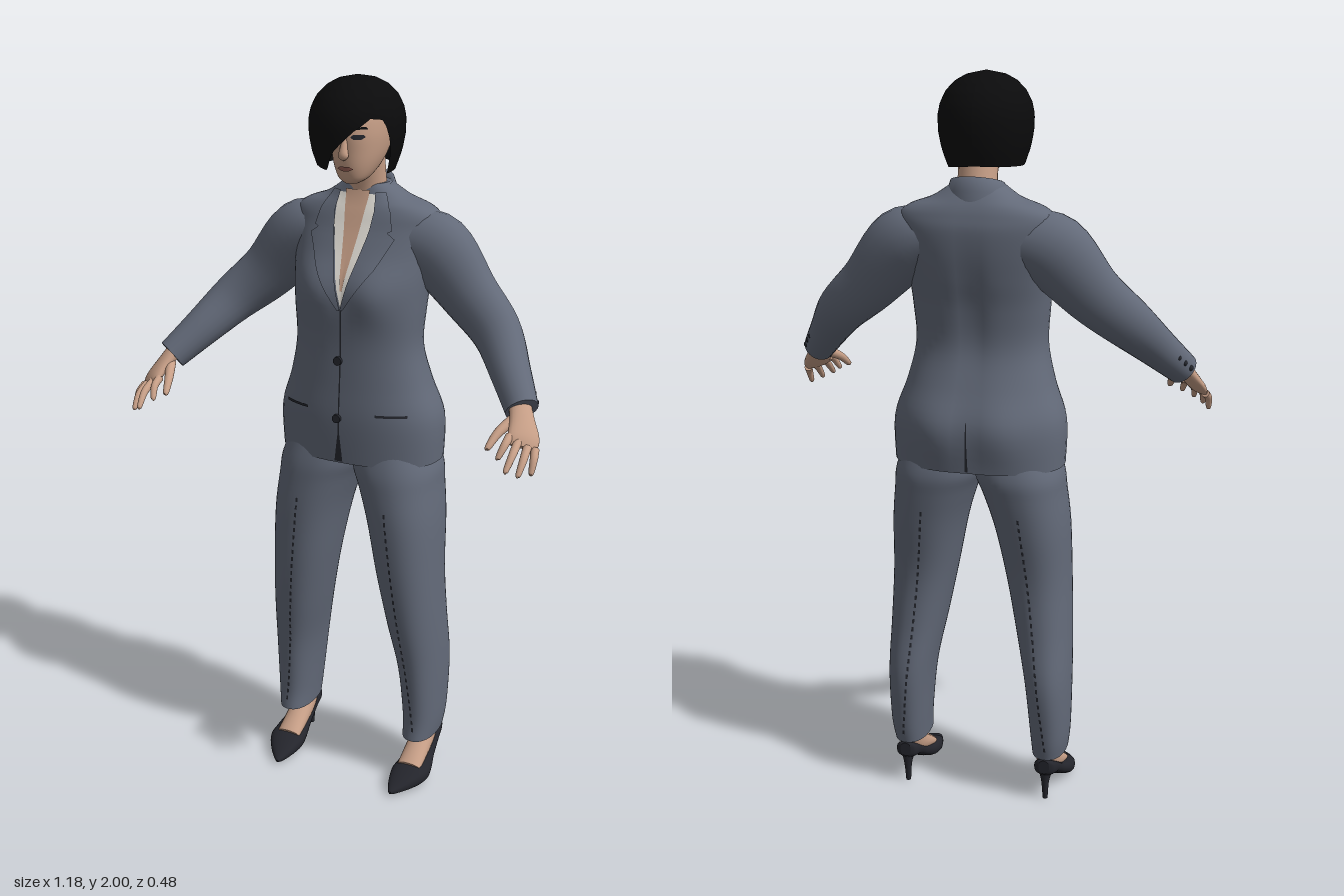
import * as THREE from 'three';
import { mergeGeometries } from 'three/addons/utils/BufferGeometryUtils.js';

const V = (x, y, z) => new THREE.Vector3(x, y, z);
const paint = (name, color) => Object.assign(new THREE.MeshStandardMaterial({ color, side: THREE.DoubleSide }), { name });
const circle = (n, f) => Array.from({ length: n }, (_, j) => f(j / n * Math.PI * 2));

// Catmull-Rom interpolation of every column of a table of sections
function smooth(rows, n = 5) {
  const out = [], at = i => rows[Math.min(Math.max(i, 0), rows.length - 1)];
  for (let i = 0; i < rows.length - 1; i++) for (let k = 0; k < n; k++) {
    const t = k / n;
    out.push(at(i).map((b, c) => {
      const a = at(i - 1)[c], d = at(i + 1)[c], e = at(i + 2)[c];
      return b + 0.5 * t * (d - a + t * (2 * a - 5 * b + 4 * d - e + t * (3 * (b - d) + e - a)));
    }));
  }
  return [...out, at(rows.length - 1)];
}

// Skin over a list of point rings; closed rings are capped at both ends
function loft(rings, closed = true) {
  const n = rings[0].length, pos = [], idx = [];
  rings.forEach(r => r.forEach(p => pos.push(p.x, p.y, p.z)));
  for (let i = 0; i < rings.length - 1; i++) for (let j = 0; j < (closed ? n : n - 1); j++) {
    const a = i * n + j, b = i * n + (j + 1) % n;
    idx.push(a, a + n, b, b, a + n, b + n);
  }
  if (closed) [rings[0], rings[rings.length - 1]].forEach((r, e) => {
    const s = pos.length / 3, c = r.reduce((m, p) => m.add(p), V(0, 0, 0)).divideScalar(n);
    [...r, c].forEach(p => pos.push(p.x, p.y, p.z));
    for (let j = 0; j < n; j++) {
      const k = s + (j + 1) % n;
      idx.push(s + j, ...(e ? [s + n, k] : [k, s + n]));
    }
  });
  const g = new THREE.BufferGeometry();
  g.setAttribute('position', new THREE.Float32BufferAttribute(pos, 3));
  g.setIndex(idx);
  g.computeVertexNormals();
  return g;
}

// Body volume from rows [y, xMin, xMax, zFront, zBack] with rounded-box sections
function body(table, power = 2.3, bump = () => 0) {
  const rows = smooth(table), sp = v => Math.sign(v) * Math.abs(v) ** (2 / power);
  const geometry = loft(rows.map(([y, x0, x1, zf, zb]) => circle(48, a => {
    const s = sp(Math.sin(-a)), x = (x0 + x1) / 2 + (x1 - x0) / 2 * sp(Math.cos(a));
    return V(x, y, (zf + zb) / 2 + (zf - zb) / 2 * s + bump(x, y, s));
  })));
  // depth of the front (side 1) or back (side -1) surface at x, y
  const depth = (x, y, side = 1) => {
    let i = 0;
    while (i < rows.length - 2 && rows[i + 1][0] < y) i++;
    const t = THREE.MathUtils.clamp((y - rows[i][0]) / (rows[i + 1][0] - rows[i][0]), 0, 1);
    const [, x0, x1, zf, zb] = rows[i].map((v, c) => v + (rows[i + 1][c] - v) * t);
    const q = Math.min(Math.abs((x - (x0 + x1) / 2) / ((x1 - x0) / 2)), 1);
    const s = side * (1 - q ** power) ** (1 / power);
    return (zf + zb) / 2 + (zf - zb) / 2 * s + bump(x, y, s);
  };
  return { geometry, depth };
}

// Thin patch lying on a body; rows are [y, xLeft, xRight]
function patch(b, rows, lift, side = 1) {
  const fine = rows.slice(1).flatMap((q, i) =>
    [0, 0.2, 0.4, 0.6, 0.8].map(t => rows[i].map((v, c) => v + (q[c] - v) * t)));
  return loft([...fine, rows[rows.length - 1]].map(([y, a, c]) => Array.from({ length: 9 }, (_, j) => {
    const x = a + (c - a) * j / 8;
    return V(x, y, b.depth(x, y, side) + side * lift);
  })), false);
}

// Limb along points [x, y, z, width, thickness]
function limb(table, ref = V(0, 0, 1)) {
  const rows = smooth(table);
  return loft(rows.map((r, i) => {
    const p = rows[Math.max(i - 1, 0)], q = rows[Math.min(i + 1, rows.length - 1)];
    const t = V(q[0] - p[0], q[1] - p[1], q[2] - p[2]).normalize();
    const u = t.clone().cross(ref).normalize(), v = u.clone().cross(t);
    return circle(20, a => V(r[0], r[1], r[2]).addScaledVector(u, r[3] * Math.cos(a)).addScaledVector(v, r[4] * Math.sin(a)));
  }));
}

export function createModel() {
  const suit = paint('suit grey', 0x636a79), dark = paint('dark trim', 0x25272e);
  const skin = paint('skin', 0xc79f87), shirt = paint('shirt white', 0xe6e2da), lips = paint('lips', 0x9a6257);
  const black = paint('hair black', 0x0b0b0c), leather = paint('shoe leather', 0x24252c);
  const model = new THREE.Group();
  const add = (name, geometry, material, parent = model) => {
    const m = Object.assign(new THREE.Mesh(geometry, material), { name });
    parent.add(m);
    return m;
  };
  const hill = (x, y, cx, cy, s) => Math.exp(-(((Math.abs(x) - cx) / s) ** 2 + ((y - cy) / s) ** 2));

  // Jacket body with bust, hips and a shallow groove down the spine
  const jacket = body([
    [0.98, 0.232, 0.07, -0.215], [1.1, 0.233, 0.075, -0.215], [1.2, 0.2, 0.07, -0.19],
    [1.3, 0.178, 0.066, -0.165], [1.4, 0.183, 0.065, -0.172], [1.48, 0.19, 0.055, -0.188],
    [1.55, 0.198, 0.025, -0.198], [1.61, 0.205, -0.002, -0.2], [1.645, 0.203, -0.015, -0.193],
    [1.668, 0.175, -0.024, -0.185], [1.69, 0.115, -0.033, -0.173], [1.725, 0.062, -0.04, -0.15],
  ].map(([y, w, f, b]) => [y, -w, w, f, b]), 2.35, (x, y, s) => s * (s > 0
    ? 0.02 * hill(x, y, 0.09, 1.45, 0.07)
    : 0.022 * hill(x, y, 0.09, 1.09, 0.09) - 0.012 * Math.exp(-((x / 0.03) ** 2) - ((y - 1.4) / 0.18) ** 2)));
  add('jacket', jacket.geometry, suit);
  const trim = (name, rows, lift, mat, side) => add(name, patch(jacket, rows, lift, side), mat);
  trim('shirtFront', [[1.42, -0.002, 0.002], [1.62, -0.055, 0.055], [1.7, -0.058, 0.058]], 0.003, shirt);
  trim('chest', [[1.46, -0.003, 0.003], [1.6, -0.021, 0.021], [1.71, -0.035, 0.035]], 0.006, skin);
  trim('jacketOpening', [[0.985, -0.018, 0.006], [1.07, -0.006, -0.002], [1.42, -0.002, 0.002]], 0.002, dark);
  trim('backVent', [[0.985, -0.004, 0.004], [1.12, -0.001, 0.001]], 0.003, dark, -1);
  for (const s of [-1, 1]) {
    trim('lapel', [[1.41, 0, 0.008], [1.52, 0.028, 0.085], [1.595, 0.047, 0.122], [1.61, 0.05, 0.1],
      [1.615, 0.051, 0.112], [1.66, 0.056, 0.1], [1.705, 0.05, 0.075]].map(([y, a, b]) => [y, s * a, s * b]), 0.009, suit);
    trim('pocketSlit', [[1.125, s * 0.1, s * 0.18], [1.132, s * 0.1, s * 0.18]], 0.003, dark);
  }
  for (const y of [1.11, 1.27])
    add('jacketButton', new THREE.CylinderGeometry(0.012, 0.012, 0.009, 16).rotateX(Math.PI / 2), dark)
      .position.set(-0.008, y, jacket.depth(0, y) + 0.004);

  // Turned collar around the nape
  add('collar', loft([[0.088, 1.675, 0.082], [0.082, 1.71, 0.078], [0.07, 1.745, 0.066], [0.058, 1.73, 0.056]].map(([rx, y, rz]) =>
    Array.from({ length: 29 }, (_, j) => {
      const a = (j / 28 - 0.5) * 4.3;
      return V(rx * Math.sin(a), y - 0.02 * (1 - Math.cos(a)), -0.095 - rz * Math.cos(a));
    })), false), suit);

  // Neck, head and face
  add('neck', limb([[0, 1.64, -0.1, 0.06, 0.06], [0.003, 1.72, -0.085, 0.052, 0.052], [0.006, 1.82, -0.06, 0.052, 0.055]]), skin);
  const head = body([
    [1.737, 0.018, 0.036, -0.01], [1.75, 0.038, 0.047, -0.04], [1.78, 0.055, 0.056, -0.09],
    [1.82, 0.067, 0.06, -0.13], [1.87, 0.072, 0.062, -0.15], [1.92, 0.066, 0.05, -0.145], [1.96, 0.035, 0.01, -0.11],
  ].map(([y, w, f, b]) => [y, 0.008 - w, 0.008 + w, f, b]), 2.2);
  add('head', head.geometry, skin);
  add('nose', limb([[0.008, 1.86, 0.055, 0.007, 0.007], [0.008, 1.83, 0.064, 0.01, 0.01],
    [0.008, 1.812, 0.067, 0.014, 0.011], [0.008, 1.804, 0.062, 0.006, 0.006]]), skin);
  add('mouth', patch(head, [[1.772, 0, 0.016], [1.778, -0.015, 0.031], [1.784, -0.004, 0.02]], 0.004), lips);
  for (const s of [-1, 1]) {
    const at = (a, b) => [0.008 + s * a, 0.008 + s * b];
    add('eye', patch(head, [[1.853, ...at(0.025, 0.042)], [1.859, ...at(0.018, 0.05)], [1.865, ...at(0.024, 0.046)]], 0.003), dark);
    add('eyebrow', patch(head, [[1.878, ...at(0.016, 0.054)], [1.884, ...at(0.018, 0.05)]], 0.003), black);
  }

  // Bobbed hair: a cap whose hem [degrees, y] sweeps diagonally across the face
  const hem = [[-180, 1.772], [-90, 1.765], [-45, 1.775], [-18, 1.77], [0, 1.825], [25, 1.875], [45, 1.905],
    [62, 1.9], [74, 1.83], [80, 1.757], [110, 1.76], [180, 1.772]];
  const bulge = [[1.74, 0.72], [1.77, 0.82], [1.81, 0.93], [1.85, 0.99], [1.89, 1], [1.92, 0.95],
    [1.95, 0.83], [1.975, 0.63], [1.99, 0.4], [2, 0]];
  const lookup = (t, v) => {
    const i = Math.max(1, t.findIndex(p => p[0] >= v));
    return THREE.MathUtils.mapLinear(v, t[i - 1][0], t[i][0], t[i - 1][1], t[i][1]);
  };
  add('hair', loft(Array.from({ length: 25 }, (_, i) => Array.from({ length: 73 }, (_, j) => {
    const deg = -180 + j * 5, a = deg * Math.PI / 180;
    const y = 2 - (2 - lookup(hem, deg)) * (i / 24) ** 2, r = lookup(bulge, y);
    return V(-0.012 + 0.122 * r * Math.sin(a), y, -0.056 + 0.144 * r * Math.cos(a));
  })), false), black);

  // One side of the limbs, mirrored for the other
  for (const side of [1, -1]) {
    const half = new THREE.Group();
    half.name = side > 0 ? 'leftLimbs' : 'rightLimbs';
    half.scale.x = side;
    model.add(half);
    // Sleeve with cuff buttons
    add('sleeve', limb([[0.12, 1.58, -0.1, 0.075, 0.08], [0.2, 1.555, -0.1, 0.098, 0.08], [0.3, 1.45, -0.088, 0.08, 0.062],
      [0.39, 1.37, -0.055, 0.068, 0.057], [0.46, 1.29, 0.02, 0.054, 0.05], [0.518, 1.222, 0.088, 0.044, 0.042]]), suit, half);
    for (let i = 0; i < 3; i++)
      add('cuffButton', new THREE.SphereGeometry(0.008, 10, 8), dark, half)
        .position.set(0.515 + i * 0.014, 1.268 - i * 0.017, 0.018 + i * 0.018);
    // Hand: flat palm, four fingers and thumb
    const palm = V(-0.009, -0.0122, -0.0086);
    add('palm', limb([[0.505, 1.245, 0.075, 0.028, 0.022], [0.528, 1.205, 0.112, 0.033, 0.018],
      [0.545, 1.17, 0.143, 0.042, 0.015], [0.55, 1.15, 0.16, 0.036, 0.009]], palm), skin, half);
    [[0.515, 1.175, 0.162, 0.505, 1.133, 0.212], [0.537, 1.163, 0.162, 0.535, 1.112, 0.236],
      [0.56, 1.15, 0.156, 0.562, 1.1, 0.22], [0.576, 1.143, 0.143, 0.582, 1.095, 0.182]].forEach(([a, b, c, d, e, f]) =>
      add('finger', limb([[a, b, c, 0.011, 0.011], [(a + d) / 2 + 0.003, (b + e) / 2 + 0.006, (c + f) / 2 + 0.004, 0.01, 0.01],
        [d, e, f, 0.007, 0.007], [d, e - 0.004, f + 0.003, 0.002, 0.002]], palm), skin, half));
    add('thumb', limb([[0.51, 1.205, 0.11, 0.016, 0.014], [0.485, 1.18, 0.16, 0.012, 0.012],
      [0.472, 1.15, 0.198, 0.008, 0.008], [0.471, 1.146, 0.203, 0.002, 0.002]], palm), skin, half);
    // Trouser leg with stitched creases
    const leg = body([
      [0.13, 0.155, 0.25, 0.028, -0.15], [0.2, 0.15, 0.258, 0.022, -0.165], [0.35, 0.135, 0.26, 0.035, -0.182],
      [0.5, 0.105, 0.256, 0.058, -0.168], [0.65, 0.075, 0.25, 0.073, -0.165], [0.8, 0.044, 0.245, 0.078, -0.188],
      [0.9, 0.013, 0.235, 0.074, -0.203], [0.96, -0.01, 0.228, 0.068, -0.208], [1.03, -0.01, 0.2, 0.05, -0.19]]);
    add('trouserLeg', leg.geometry, suit, half);
    const dashes = [];
    for (let i = 0; i < 30; i++) for (const s of [1, -1]) {
      const y = 0.16 + i * 0.0235, x = 0.207 - (y - 0.15) * 0.105;
      dashes.push(patch(leg, [[y, x - 0.003, x + 0.003], [y + 0.013, x - 0.004, x + 0.002]], 0.002, s));
    }
    add('creaseStitching', mergeGeometries(dashes), dark, half);
    // Ankle and instep
    add('foot', limb([[0.2, 0.22, -0.1, 0.036, 0.04], [0.2, 0.14, -0.098, 0.033, 0.038],
      [0.2, 0.095, -0.065, 0.035, 0.036], [0.2, 0.045, 0.03, 0.036, 0.018]]), skin, half);
    // Pointed pump: sections [z, centreX, halfWidth, bottom, top] from heel to toe
    const pump = smooth([[-0.152, 0.203, 0.015, 0.088, 0.128], [-0.14, 0.203, 0.03, 0.078, 0.128], [-0.1, 0.204, 0.036, 0.066, 0.108],
      [-0.05, 0.205, 0.041, 0.036, 0.078], [0, 0.206, 0.051, 0.008, 0.058], [0.04, 0.203, 0.052, 0, 0.052],
      [0.08, 0.196, 0.037, 0, 0.038], [0.115, 0.188, 0.016, 0.002, 0.022], [0.13, 0.185, 0.003, 0.006, 0.014]]);
    add('shoe', loft(pump.map(([z, x, w, b, t]) => circle(24, a => {
      const s = Math.sin(a);
      return V(x + w * Math.cos(a), (b + t) / 2 + (t - b) / 2 * Math.sign(s) * Math.abs(s) ** 0.7, z);
    }))), leather, half);
    add('heel', limb([[0.203, 0.1, -0.125, 0.026, 0.024], [0.203, 0.06, -0.13, 0.012, 0.013], [0.203, 0, -0.128, 0.007, 0.007]]), leather, half);
  }
  return model;
}
